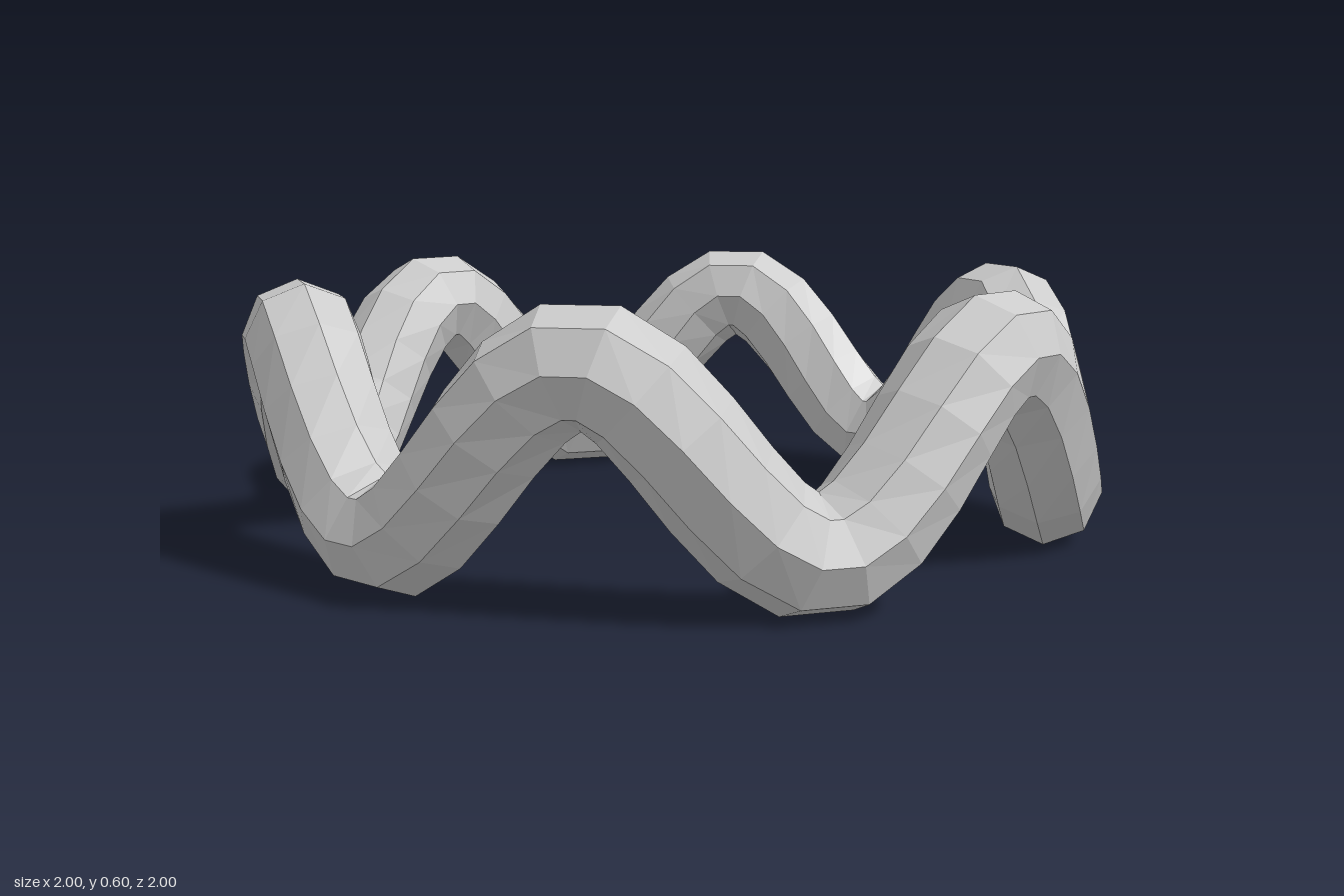
import * as THREE from 'three';

const WAVES = 6, SEGMENTS = 72, SIDES = 8;
const RADIUS = 0.873, TUBE = 0.126, AMPLITUDE = 0.187, MID = 0.3;

// Closed circle that rises and falls in even waves, crests on the x axis
class WaveRing extends THREE.Curve {
  angle(t) {
    return (t + 0.5 / SEGMENTS) * Math.PI * 2; // half a step, so crests end in a short flat
  }
  getPoint(t, target = new THREE.Vector3()) {
    const a = this.angle(t);
    return target.set(RADIUS * Math.cos(a), MID + AMPLITUDE * Math.cos(WAVES * a), RADIUS * Math.sin(a));
  }
  getPointAt(t, target) {
    return this.getPoint(t, target);
  }
  // Frames keep one corner of the section pointing straight outward, without twist
  computeFrenetFrames(segments) {
    const tangents = [], normals = [], binormals = [];
    for (let i = 0; i <= segments; i++) {
      const a = this.angle(i / segments);
      const tangent = new THREE.Vector3(
        -RADIUS * Math.sin(a), -AMPLITUDE * WAVES * Math.sin(WAVES * a), RADIUS * Math.cos(a)).normalize();
      const normal = new THREE.Vector3(Math.cos(a), 0, Math.sin(a));
      tangents.push(tangent);
      normals.push(normal);
      binormals.push(new THREE.Vector3().crossVectors(tangent, normal));
    }
    return { tangents, normals, binormals };
  }
}

export function createModel() {
  const group = new THREE.Group();
  group.name = 'wavyRing';
  const material = new THREE.MeshStandardMaterial({ color: 0xcccccc, flatShading: true });

  // Eight-sided tube swept along the wave
  const ring = new THREE.Mesh(new THREE.TubeGeometry(new WaveRing(), SEGMENTS, TUBE, SIDES, true), material);
  ring.name = 'waveTube';
  group.add(ring);
  return group;
}
